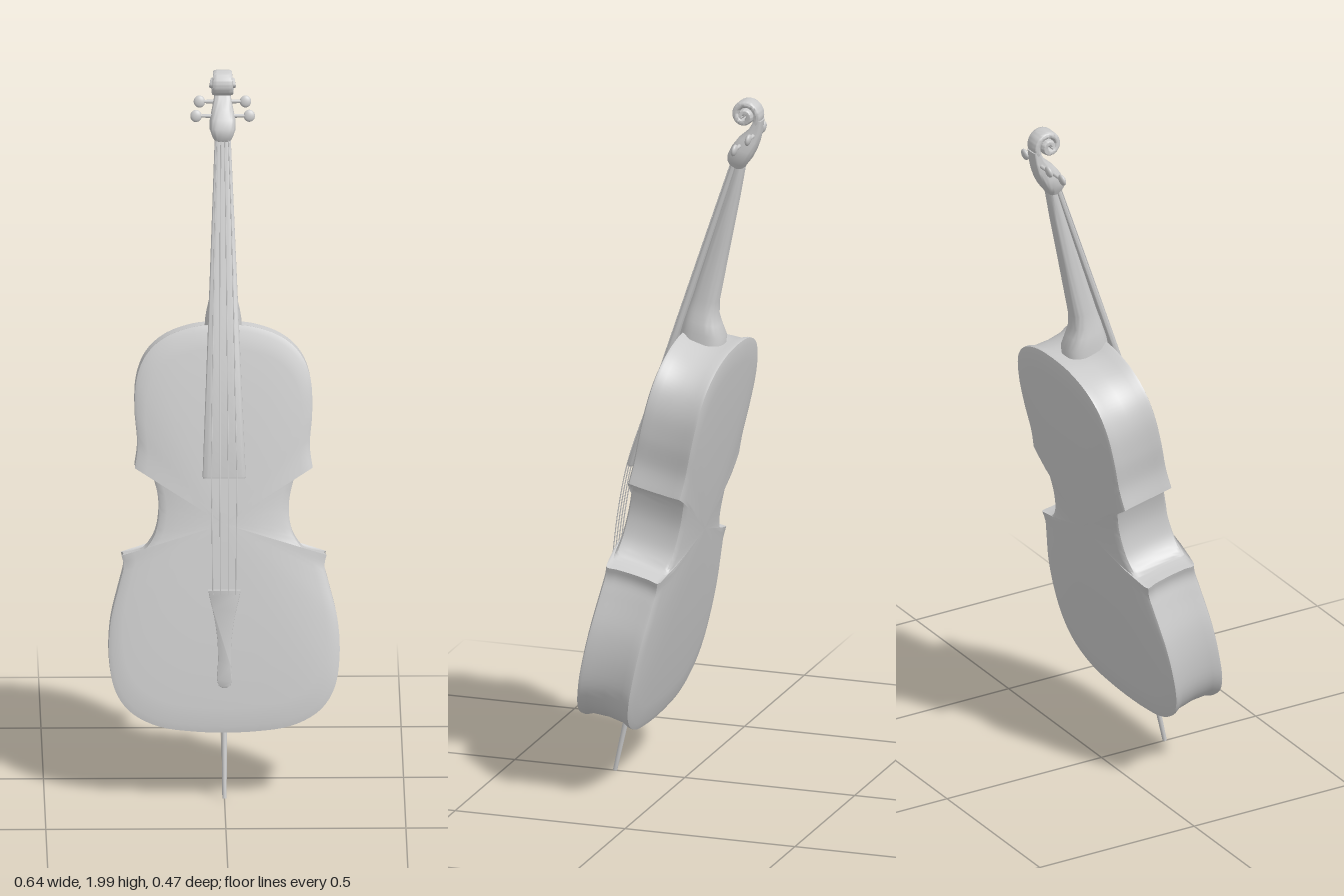
import * as THREE from 'three';
import { toCreasedNormals } from 'three/addons/utils/BufferGeometryUtils.js';

const V3 = (x, y, z) => new THREE.Vector3(x, y, z);
const material = new THREE.MeshStandardMaterial({ color: 0xcccccc });

function part(name, geometry) {
  const mesh = new THREE.Mesh(geometry, material);
  mesh.name = name;
  return mesh;
}

// Skin a list of equal-length closed rings and cap both ends
function loft(rings, crease = 0.7) {
  const n = rings[0].length, pos = [], idx = [];
  rings.forEach(r => r.forEach(p => pos.push(p.x, p.y, p.z)));
  for (let k = 0; k < rings.length - 1; k++) {
    for (let i = 0; i < n; i++) {
      const a = k * n + i, b = k * n + (i + 1) % n;
      idx.push(a, a + n, b, b, a + n, b + n);
    }
  }
  [rings[0], rings[rings.length - 1]].forEach((ring, end) => {
    const c = ring.reduce((s, p) => s.add(p), V3(0, 0, 0)).divideScalar(n);
    const centre = pos.length / 3, base = end ? (rings.length - 1) * n : 0;
    pos.push(c.x, c.y, c.z);
    for (let i = 0; i < n; i++) {
      const a = base + i, b = base + (i + 1) % n;
      idx.push(centre, end ? b : a, end ? a : b);
    }
  });
  const g = new THREE.BufferGeometry();
  g.setAttribute('position', new THREE.Float32BufferAttribute(pos, 3));
  g.setIndex(idx);
  return toCreasedNormals(g, crease);
}

// Unit rounded-square section; a small power gives squarer corners
function section(power, n = 32) {
  const f = t => Math.sign(t) * Math.abs(t) ** power;
  return Array.from({ length: n }, (_, i) => {
    const a = (i / n) * Math.PI * 2;
    return [f(Math.cos(a)), f(Math.sin(a))];
  });
}

// Upright loft from rows of [height, back z, front z, half width]
function column(rows, power) {
  return loft(rows.map(([y, zb, zf, hw]) =>
    section(power).map(([c, s]) => V3(c * hw, y, (zb + zf) / 2 + s * (zf - zb) / 2))));
}

// Body outline: upper bout, waist and lower bout, meeting at sharp corners
function bodyOutline() {
  const bouts = [
    [[0, 1.324], [0.08, 1.318], [0.16, 1.29], [0.215, 1.24], [0.242, 1.17], [0.246, 1.08], [0.239, 0.99], [0.247, 0.925]],
    [[0.247, 0.925], [0.206, 0.913], [0.188, 0.87], [0.18, 0.81], [0.19, 0.745], [0.218, 0.7], [0.245, 0.688], [0.285, 0.682]],
    [[0.285, 0.682], [0.279, 0.65], [0.291, 0.6], [0.315, 0.5], [0.32, 0.4], [0.305, 0.31], [0.26, 0.245], [0.18, 0.205], [0.08, 0.191], [0, 0.188]],
  ];
  const half = [];
  bouts.forEach(b => {
    const pts = new THREE.SplineCurve(b.map(p => new THREE.Vector2(...p))).getPoints(40);
    half.push(...pts.slice(half.length ? 1 : 0));
  });
  const mirrored = half.slice(1, -1).reverse().map(p => new THREE.Vector2(-p.x, p.y));
  return [...half, ...mirrored];
}

// Arched back, slightly hollow ribs, arched front: [scale, z]
function body() {
  const outline = bodyOutline(), cy = 0.77;
  const layers = [
    [0.05, -0.103], [0.4, -0.101], [0.7, -0.096], [0.88, -0.09], [0.97, -0.086], [1, -0.081], [1, -0.073],
    [0.985, -0.055], [0.978, -0.005], [0.985, 0.045],
    [1, 0.063], [1, 0.071], [0.97, 0.076], [0.88, 0.08], [0.7, 0.086], [0.4, 0.091], [0.05, 0.093],
  ];
  return loft(layers.map(([s, z]) => outline.map(p => V3(p.x * s, cy + (p.y - cy) * s, z))), 0.6);
}

// Scroll: a band winding inward and growing wider towards the eye
function scroll() {
  const rings = [], steps = 80;
  for (let k = 0; k <= steps; k++) {
    const t = k / steps, a = (205 - 640 * t) * Math.PI / 180;
    const r = 0.048 - 0.037 * t, inner = Math.max(0, r - 0.02), hw = 0.024 + 0.014 * t;
    rings.push(section(0.5, 20).map(([c, s]) => {
      const d = (r + inner) / 2 - s * (r - inner) / 2;
      return V3(c * hw, 1.99 + Math.sin(a) * d, 0.038 + Math.cos(a) * d);
    }));
  }
  return loft(rings);
}

function tailpiece() {
  const right = [[0.014, 0], [0.019, 0.02], [0.016, 0.07], [0.018, 0.13], [0.026, 0.19], [0.036, 0.235], [0.043, 0.268]]
    .map(p => new THREE.Vector2(...p));
  const shape = new THREE.Shape();
  shape.moveTo(-0.014, 0);
  shape.quadraticCurveTo(0, -0.012, 0.014, 0);
  shape.splineThru(right.slice(1));
  shape.lineTo(-0.043, 0.268);
  shape.splineThru(right.slice(0, -1).reverse().map(p => new THREE.Vector2(-p.x, p.y)));
  const g = new THREE.ExtrudeGeometry(shape, {
    depth: 0.008, bevelEnabled: true, bevelSize: 0.002, bevelThickness: 0.003, bevelSegments: 2, curveSegments: 8,
  });
  return toCreasedNormals(g, 0.7);
}

export function createModel() {
  const model = new THREE.Group();
  model.name = 'cello';
  const cello = new THREE.Group();
  cello.name = 'leaningInstrument';
  model.add(cello);

  cello.add(part('body', body()));

  // Neck with flared heel
  cello.add(part('neck', column([
    [1.28, -0.05, 0.085, 0.052], [1.335, -0.04, 0.085, 0.051], [1.365, -0.02, 0.082, 0.046], [1.39, -0.007, 0.08, 0.04],
    [1.43, 0, 0.075, 0.035], [1.6, 0.003, 0.06, 0.027], [1.75, 0.006, 0.045, 0.023], [1.85, 0.01, 0.036, 0.021],
  ], 0.75)));

  // Fingerboard, its playing surface sloping towards the nut
  const top = y => 0.145 - 0.105 * (y - 0.9);
  cello.add(part('fingerboard', column([
    [0.9, 0.124, top(0.9) - 0.002, 0.058], [0.905, 0.122, top(0.905), 0.06],
    [1.35, 0.078, top(1.35), 0.042], [1.85, 0.03, top(1.85), 0.022],
  ], 0.5)));

  // Pegbox and scroll
  cello.add(part('pegbox', column([
    [1.83, 0.012, 0.048, 0.021], [1.845, 0.006, 0.06, 0.029], [1.865, -0.003, 0.062, 0.036], [1.89, -0.01, 0.056, 0.036],
    [1.92, -0.015, 0.042, 0.03], [1.95, -0.016, 0.02, 0.024], [1.985, -0.012, 0.008, 0.023],
  ], 0.6)));
  cello.add(part('scroll', scroll()));

  // Two pegs on each side, with flat oval heads
  for (const side of [-1, 1]) {
    for (const [y, z, x] of [[1.94, 0, 0.064], [1.902, 0.03, 0.074]]) {
      const peg = new THREE.Group();
      peg.name = 'tuningPeg';
      const shaft = part('pegShaft', new THREE.CylinderGeometry(0.004, 0.007, x, 12));
      shaft.rotation.z = -side * Math.PI / 2;
      shaft.position.x = side * x / 2;
      const head = part('pegHead', new THREE.SphereGeometry(1, 20, 12));
      head.scale.set(0.016, 0.017, 0.008);
      head.position.x = side * x;
      peg.add(shaft, head);
      peg.position.set(0, y, z);
      cello.add(peg);
    }
  }

  // Four strings from pegbox to tailpiece
  for (const i of [-1.5, -0.5, 0.5, 1.5]) {
    const pts = [[1.87, 0.01], [1.6, 0.0155], [1.3, 0.0195], [1.1, 0.0215], [0.9, 0.0235]]
      .map(([y, dx]) => V3(i * dx, y, top(y) + 0.001));
    pts.push(V3(i * 0.0225, 0.75, 0.143), V3(i * 0.0215, 0.575, 0.126));
    cello.add(part('string', new THREE.TubeGeometry(new THREE.CatmullRomCurve3(pts), 48, 0.0016, 6)));
  }

  const tail = part('tailpiece', tailpiece());
  tail.position.set(0, 0.322, 0.084);
  tail.rotation.x = 0.124;
  cello.add(tail);

  // End pin
  const pin = part('endPin', new THREE.CylinderGeometry(0.008, 0.006, 0.2, 16));
  pin.position.y = 0.1;
  cello.add(pin);

  // Lean the instrument back on its pin
  cello.rotation.x = -0.215;
  cello.position.set(0, 0.001, 0.205);
  return model;
}
